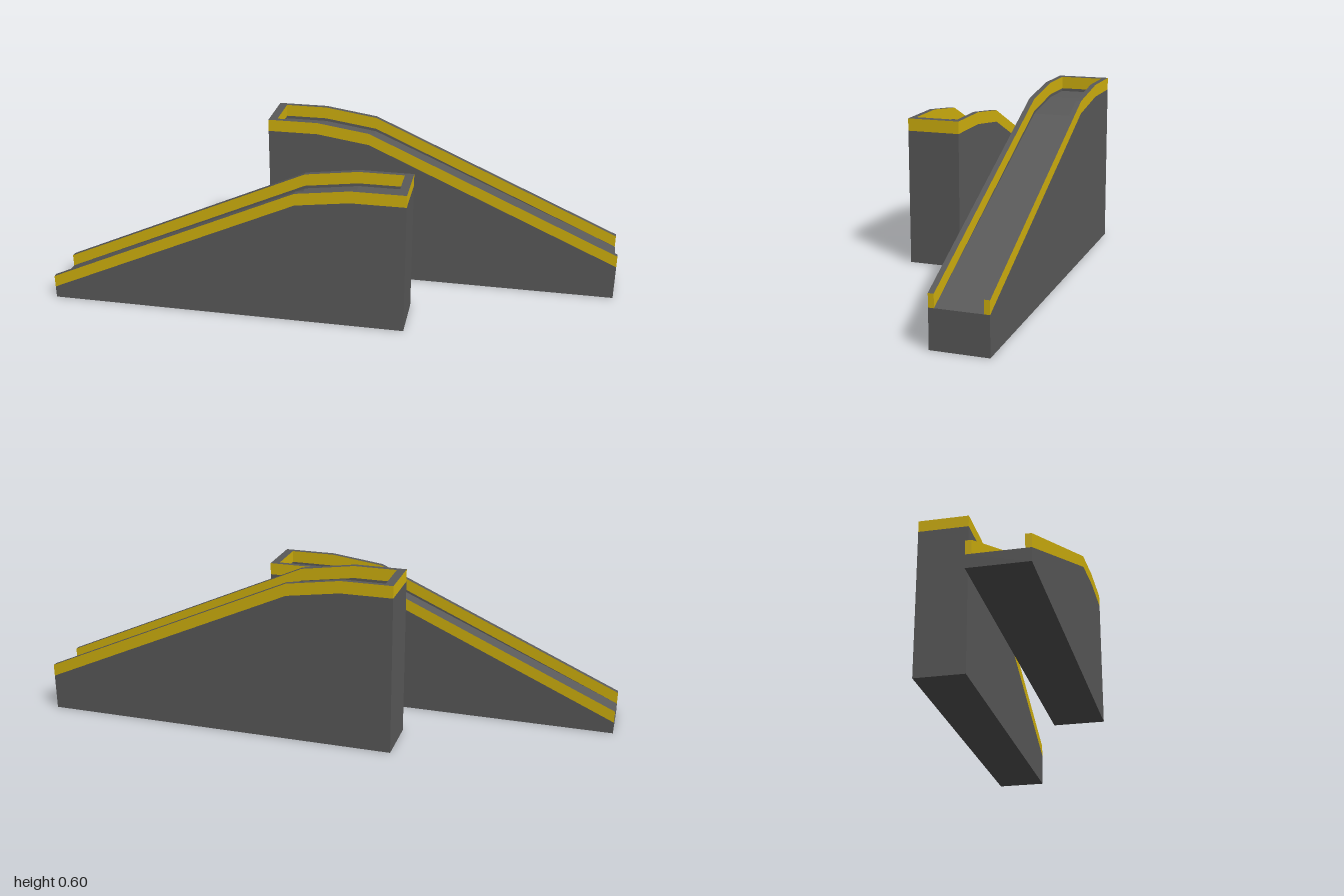
import * as THREE from 'three';

const grey = new THREE.MeshStandardMaterial({ color: 0x5a5a5a });
const yellow = new THREE.MeshStandardMaterial({ color: 0xd2b20e });

const Z_FRONT = -0.095, Z_BACK = -0.28; // outer faces of a ramp
const WALL = 0.018, END_WALL = 0.03, BAND = 0.043;

// Flat-shaded quads between pairs of equally long point rows.
function stripMesh(name, material, pairs) {
  const pos = [];
  for (const [a, b] of pairs) {
    for (let i = 0; i < a.length - 1; i++) {
      for (const p of [a[i], a[i + 1], b[i + 1], a[i], b[i + 1], b[i]]) pos.push(...p);
    }
  }
  const geometry = new THREE.BufferGeometry();
  geometry.setAttribute('position', new THREE.Float32BufferAttribute(pos, 3));
  geometry.computeVertexNormals();
  const mesh = new THREE.Mesh(geometry, material);
  mesh.name = name;
  return mesh;
}

// U-shaped row: down the front side, across the high end, back along the rear side.
function row(xs, ys, inset) {
  const side = z => xs.map((x, i) => [i === 0 ? x + (inset ? END_WALL : 0) : x, ys[i], z]);
  const w = inset ? WALL : 0;
  return [...side(Z_FRONT - w).reverse(), ...side(Z_BACK + w)];
}

// A ramp descending towards +x; xs and tops run from the high end to the low end.
function makeRamp(name, xs, tops) {
  const bandLow = tops.map(y => y - BAND);
  const road = bandLow.map((y, i) => (i < 3 ? y - 0.01 : y));
  const ground = tops.map(() => 0);
  const outTop = row(xs, tops, false), inTop = row(xs, tops, true);
  const outLow = row(xs, bandLow, false), inLow = row(xs, bandLow, true);
  const outGround = row(xs, ground, false), inRoad = row(xs, road, true);
  const front = r => r.slice(0, 4);
  const back = r => r.slice(4).reverse();
  const last = outTop.length - 1;

  const ramp = new THREE.Group();
  ramp.name = name;
  ramp.add(
    // Solid base: walls, low end face and underside
    stripMesh('base', grey, [
      [outLow, outGround],
      [[outGround[last], outLow[last]], [outGround[0], outLow[0]]],
      [front(outGround), back(outGround)],
    ]),
    // Sunken deck with its low kerbs
    stripMesh('deck', grey, [[back(inRoad), front(inRoad)], [inRoad, inLow]]),
    // Coloured rail band, outside, inside and at the two low tips
    stripMesh('railBand', yellow, [
      [outTop, outLow],
      [inLow, inTop],
      [[inLow[0], inTop[0]], [outLow[0], outTop[0]]],
      [[outLow[last], outTop[last]], [inLow[last], inTop[last]]],
    ]),
    // Top of the rail
    stripMesh('railCap', grey, [[inTop, outTop]]),
  );
  return ramp;
}

export function createModel() {
  const model = new THREE.Group();
  model.name = 'rampPair';
  const rear = makeRamp('rearRamp', [-0.28, -0.1, 0.09, 1], [0.603, 0.603, 0.575, 0.17]);
  const front = makeRamp('frontRamp', [-0.28, -0.09, 0.1, 1], [0.515, 0.515, 0.49, 0.085]);
  front.rotation.y = Math.PI; // descends the other way
  model.add(rear, front);
  return model;
}
